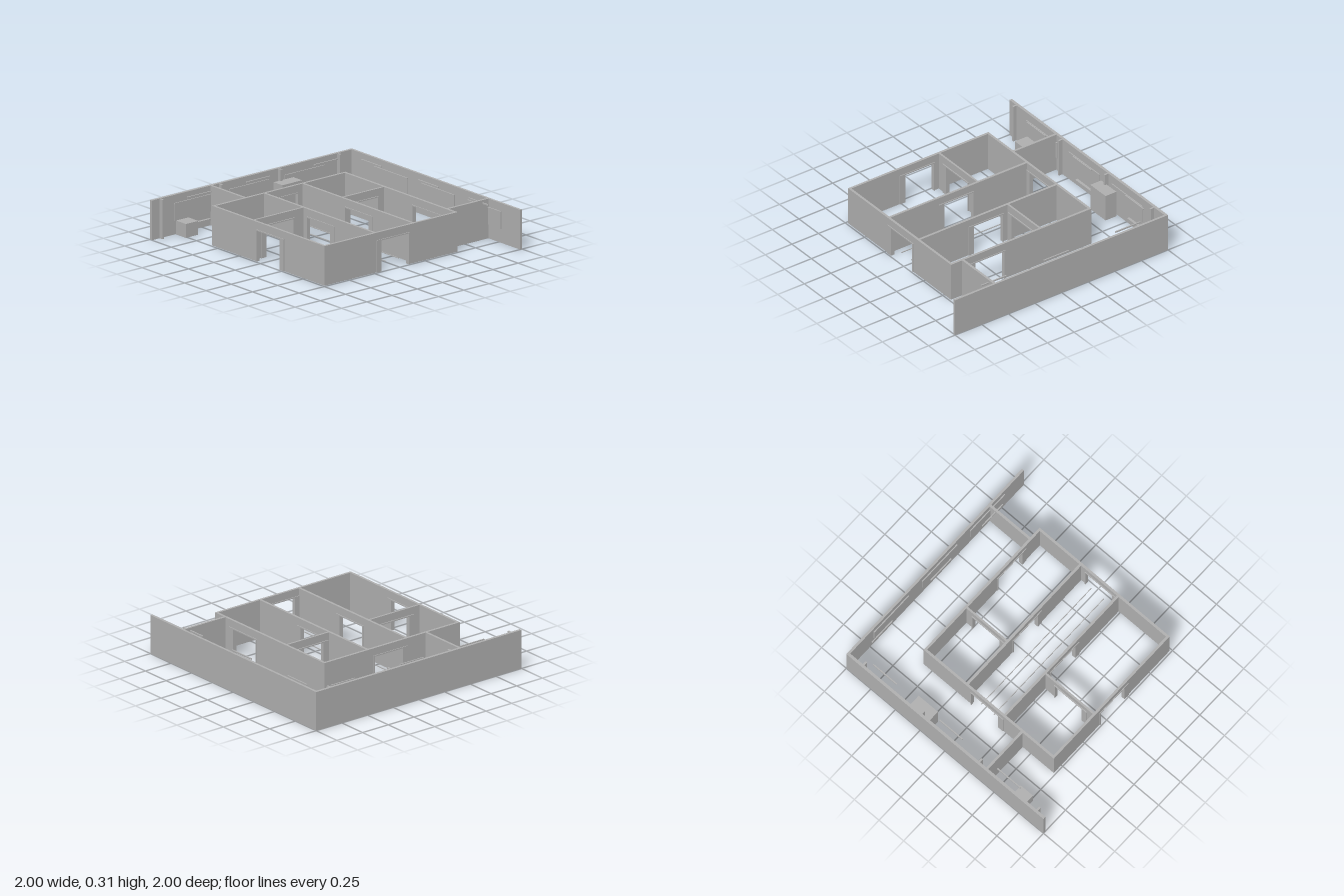
import * as THREE from 'three';

const grey = new THREE.MeshStandardMaterial({ color: 0xb0b0b0 });
grey.name = 'plain grey';

const H = 0.315;          // wall height
const DOOR_W = 0.275;     // clear doorway width
const DOOR_H = 0.252;     // clear doorway height

export function createModel() {
  const model = new THREE.Group();
  model.name = 'floorPlan';

  // Box given by its limits on each axis
  function box(name, x0, x1, y0, y1, z0, z1, parent = model) {
    const mesh = new THREE.Mesh(new THREE.BoxGeometry(x1 - x0, y1 - y0, z1 - z0), grey);
    mesh.position.set((x0 + x1) / 2, (y0 + y1) / 2, (z0 + z1) / 2);
    mesh.name = name;
    parent.add(mesh);
  }

  // Wall running along local x from u0 to u1 with a framed doorway starting at d;
  // alongZ turns it to run along z at x = at
  function doorWall(name, u0, u1, d, at, alongZ = false, t = 0.02) {
    const e = d + DOOR_W;
    const shape = new THREE.Shape([
      [u0, 0], [d, 0], [d, DOOR_H], [e, DOOR_H], [e, 0], [u1, 0], [u1, H], [u0, H],
    ].map(([x, y]) => new THREE.Vector2(x, y)));
    const geo = new THREE.ExtrudeGeometry(shape, { depth: t, bevelEnabled: false });
    geo.translate(0, 0, -t / 2);
    const wall = new THREE.Mesh(geo, grey);
    wall.name = name;
    const group = new THREE.Group();
    group.name = name + 'Group';
    group.add(wall);
    // Frame: thin post, wide side panel and head rail
    const f = 0.016;
    box('doorPost', d - 0.006, d + 0.003, 0, DOOR_H, -f, f, group);
    box('doorSidePanel', e, e + 0.048, 0, DOOR_H, -f, f, group);
    box('doorHead', d - 0.006, e + 0.048, DOOR_H - 0.006, DOOR_H + 0.003, -f, f, group);
    if (alongZ) {
      group.rotation.y = -Math.PI / 2;
      group.position.x = at;
    } else {
      group.position.z = at;
    }
    model.add(group);
  }

  // Outer walls and the two connecting walls
  box('backWall', -1, 1, 0, H, -1, -0.98);
  box('sideWall', -1, -0.977, 0, H, -0.98, 1);
  box('frontConnectingWall', -0.977, -0.585, 0, H, 0.4, 0.42);
  box('backConnectingWall', 0.61, 0.63, 0, H, -0.98, -0.585);

  // Walls of the inner rooms
  doorWall('innerBackWall', -0.585, 0.735, 0.235, -0.575);
  doorWall('corridorBackWall', -0.565, 0.715, -0.06, -0.155);
  doorWall('corridorFrontWall', -0.565, 0.715, -0.06, 0.225);
  doorWall('innerFrontWall', -0.585, 0.735, -0.06, 0.725);
  doorWall('innerRightWall', -0.565, 0.715, -0.1, -0.575, true);
  doorWall('innerLeftWall', -0.565, 0.715, -0.1, 0.725, true);

  // Room partitions
  doorWall('backPartition', -0.565, -0.165, -0.5, -0.112, true, 0.016);
  doorWall('frontPartition', 0.235, 0.715, 0.335, -0.112, true, 0.016);

  // Corridor rails
  for (const z of [-0.03, 0.097]) box('corridorRail', -0.55, 0.7, 0.052, 0.058, z - 0.003, z + 0.003);

  // Wall boards with top rails and lamp bars, on the back and side walls
  for (const s of [-0.71, -0.16, 0.385]) {
    const e = s + 0.395;
    box('backBoard', s, e, 0.11, 0.245, -0.98, -0.973);
    box('backBoardRail', s, e, 0.241, 0.25, -0.98, -0.971);
    box('sideBoard', -0.977, -0.971, 0.11, 0.245, s, e);
    box('sideBoardRail', -0.977, -0.969, 0.241, 0.25, s, e);
  }
  for (const s of [-0.795, -0.125, 0.462]) {
    box('backLampBar', s, s + 0.235, 0.285, 0.295, -0.928, -0.918);
    box('sideLampBar', -0.926, -0.916, 0.285, 0.295, s, s + 0.235);
  }

  // Low ledges and upright posts along the side wall
  for (const s of [-0.82, -0.155, 0.435]) box('wallLedge', -0.977, -0.955, 0.048, 0.06, s, s + 0.285);
  for (const z of [-0.845, -0.258, 0.328, 0.915]) box('wallPost', -0.977, -0.945, 0, 0.312, z - 0.008, z + 0.008);

  // Free-standing blocks
  box('tallCabinet', -0.962, -0.86, 0, 0.22, -0.39, -0.195);
  box('lowCabinet', -0.975, -0.856, 0, 0.11, 0.643, 0.765);

  return model;
}
